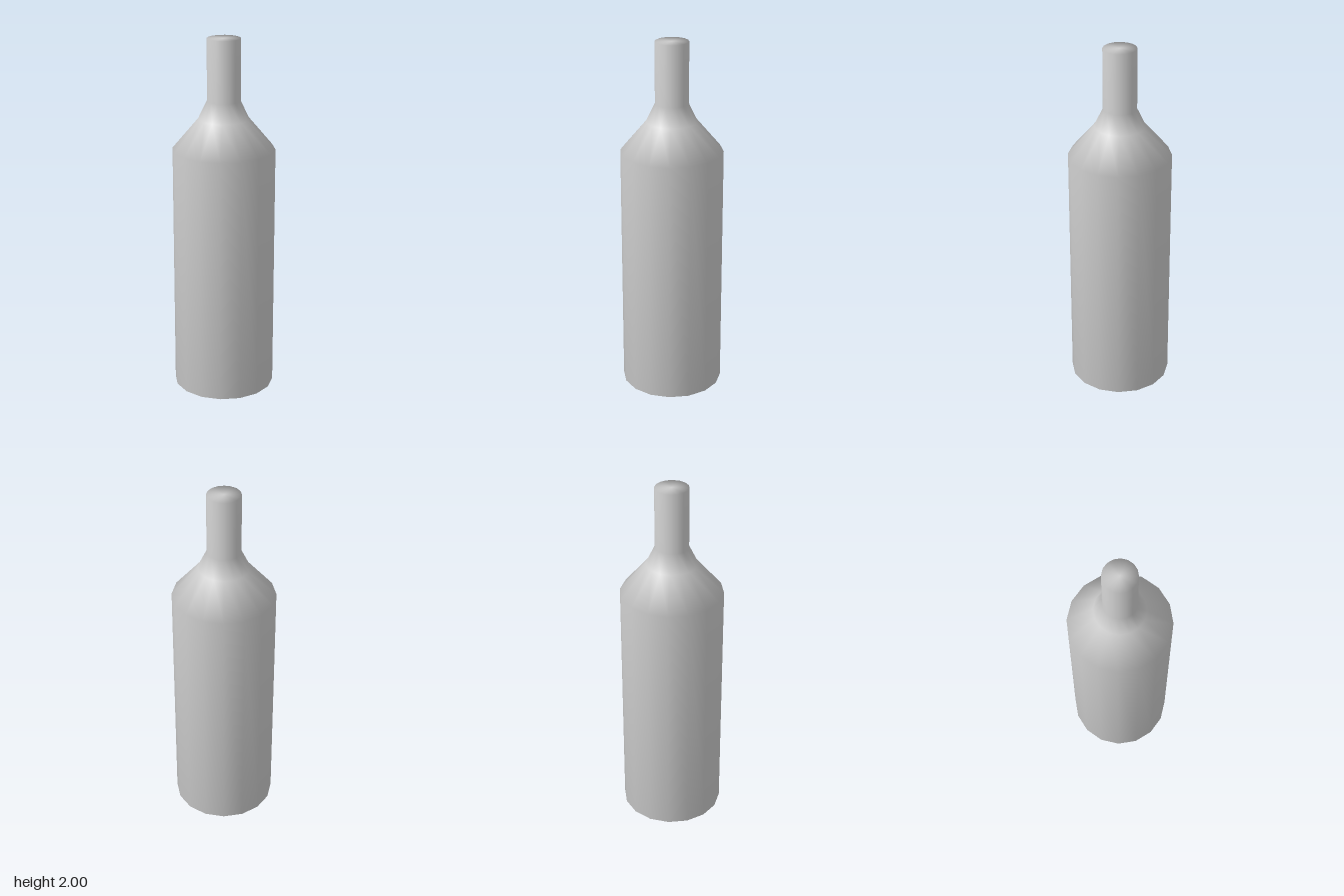
import * as THREE from 'three';
import { mergeVertices } from 'three/addons/utils/BufferGeometryUtils.js';

export function createModel() {
  const group = new THREE.Group();
  group.name = 'bottle';

  // Closed profile from base centre to mouth centre: radius, height
  const profile = [
    [0, 0], [0.283, 0], [0.283, 1.39], // base and body
    [0.14, 1.56], [0.092, 1.66],       // shoulder
    [0.092, 2], [0, 2],                // neck and top
  ].map(([r, y]) => new THREE.Vector2(r, y));

  // Weld the lathe so the shading runs smoothly over every edge
  const lathe = new THREE.LatheGeometry(profile, 16);
  lathe.deleteAttribute('normal');
  lathe.deleteAttribute('uv');
  const geometry = mergeVertices(lathe);
  geometry.computeVertexNormals();

  const bottle = new THREE.Mesh(geometry, new THREE.MeshStandardMaterial({ color: 0xcccccc }));
  bottle.name = 'bottleBody';
  group.add(bottle);
  return group;
}
